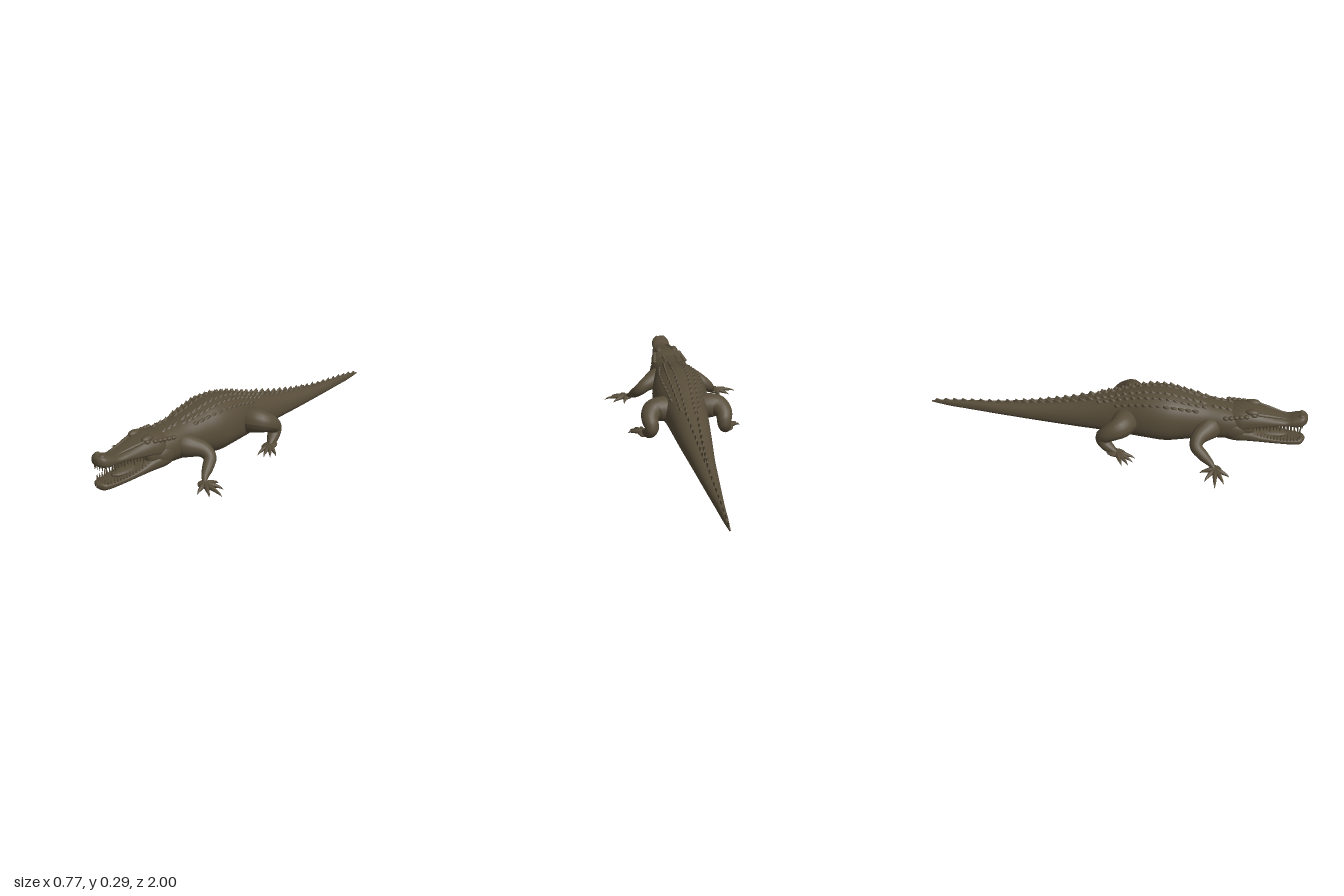
import * as THREE from 'three';
import { mergeGeometries } from 'three/addons/utils/BufferGeometryUtils.js';

const V = (x, y, z) => new THREE.Vector3(x, y, z);

// Profile rows: z, half width, height of the widest line, top, bottom
const BODY = [
  [-1, .002, .035, .038, .03], [-.9, .012, .035, .055, .02], [-.8, .02, .035, .065, .018],
  [-.6, .04, .045, .083, .015], [-.4, .06, .055, .115, .015], [-.2, .085, .075, .16, .018],
  [0, .108, .1, .222, .02], [.1, .125, .115, .258, .02], [.2, .143, .13, .282, .02],
  [.3, .145, .135, .287, .016], [.4, .125, .145, .268, .03], [.5, .105, .15, .25, .05],
  [.6, .106, .15, .24, .065], [.68, .094, .15, .235, .075], [.74, .07, .15, .2, .09], [.745, .005, .15, .16, .14],
];
const UPPER = [
  [.57, .06, .18, .225, .15], [.66, .094, .17, .245, .14], [.72, .088, .175, .246, .155],
  [.78, .075, .18, .233, .165], [.85, .063, .188, .218, .172], [.9, .053, .19, .213, .176],
  [.94, .052, .195, .228, .171], [.975, .046, .2, .238, .178], [.995, .025, .206, .228, .19], [1, .003, .208, .212, .204],
];
const LOWER = [
  [.55, .07, .12, .15, .075], [.64, .103, .125, .165, .068], [.72, .092, .115, .153, .07],
  [.78, .076, .1, .123, .067], [.86, .06, .088, .102, .062], [.93, .05, .085, .1, .06],
  [.975, .04, .085, .102, .063], [.993, .015, .087, .098, .075], [.997, .002, .088, .09, .085],
];

// Smooth profile sampling and lookup by z
function sample(rows, n) {
  const a = new THREE.CatmullRomCurve3(rows.map(r => V(r[0], r[1], r[2])));
  const b = new THREE.CatmullRomCurve3(rows.map(r => V(r[0], r[3], r[4])));
  a.curveType = b.curveType = 'catmullrom';
  return Array.from({ length: n + 1 }, (_, i) => {
    const p = a.getPoint(i / n), q = b.getPoint(i / n);
    return [p.x, Math.max(p.y, .001), p.z, q.y, q.z];
  });
}
function rowAt(rows, z) {
  let i = 0;
  while (i < rows.length - 2 && rows[i + 1][0] < z) i++;
  const a = rows[i], b = rows[i + 1], t = (z - a[0]) / (b[0] - a[0]);
  return a.map((v, k) => v + (b[k] - v) * t);
}
function ringPoint(r, angle, power) {
  const pw = v => Math.sign(v) * Math.abs(v) ** power;
  const c = pw(Math.cos(angle)), s = pw(Math.sin(angle));
  return V(r[1] * c, r[2] + s * (s > 0 ? r[3] - r[2] : r[2] - r[4]), r[0]);
}

// Skin stretched over the profile rows
function loft(rows, n, power, sides = 36) {
  const pos = [], idx = [], rings = sample(rows, n);
  for (const r of rings)
    for (let j = 0; j < sides; j++) pos.push(...ringPoint(r, j / sides * Math.PI * 2, power).toArray());
  for (let i = 0; i < n; i++)
    for (let j = 0; j < sides; j++) {
      const k = (j + 1) % sides, a = i * sides + j, b = i * sides + k;
      idx.push(a, b, a + sides, b, b + sides, a + sides);
    }
  const g = new THREE.BufferGeometry();
  g.setAttribute('position', new THREE.Float32BufferAttribute(pos, 3));
  g.setIndex(idx);
  g.computeVertexNormals();
  return g;
}

// Tube with a changing radius; stations are x, y, z, radius
function limb(stations, segs = 24, sides = 16) {
  const curve = new THREE.CatmullRomCurve3(stations.map(s => V(s[0], s[1], s[2])));
  const radii = new THREE.CatmullRomCurve3(stations.map((s, i) => V(i, s[3], 0)));
  const g = new THREE.TubeGeometry(curve, segs, 1, sides);
  const p = g.attributes.position, nrm = g.attributes.normal;
  for (let i = 0; i <= segs; i++) {
    const c = curve.getPointAt(i / segs), r = radii.getPoint(i / segs).y;
    for (let j = 0; j <= sides; j++) {
      const k = i * (sides + 1) + j;
      p.setXYZ(k, c.x + nrm.getX(k) * r, c.y + nrm.getY(k) * r, c.z + nrm.getZ(k) * r);
    }
  }
  g.computeVertexNormals();
  return g;
}

const ball = (x, y, z, sx, sy, sz) => new THREE.SphereGeometry(1, 20, 14).scale(sx, sy, sz).translate(x, y, z);

// Keeled scale leaning backwards
function scute(p, roll, width, height, length) {
  const g = new THREE.ConeGeometry(1, 1, 8).translate(0, .3, 0);
  const a = g.attributes.position;
  for (let i = 0; i < a.count; i++) a.setZ(i, a.getZ(i) - Math.max(0, a.getY(i)) * .7);
  g.scale(width, height, length).rotateZ(roll).translate(p.x, p.y, p.z);
  g.computeVertexNormals();
  return g;
}

export function createModel() {
  const group = new THREE.Group();
  const hide = new THREE.MeshStandardMaterial({ color: 0x574c39 });
  hide.name = 'olive hide';
  const add = (name, ...geos) => {
    const mesh = new THREE.Mesh(geos.length > 1 ? mergeGeometries(geos) : geos[0], hide);
    mesh.name = name;
    group.add(mesh);
  };

  add('bodyAndTail', loft(BODY, 120, .9));
  add('upperJaw', loft(UPPER, 60, .8));
  add('lowerJaw', loft(LOWER, 60, .8));
  add('tongue', ball(0, .105, .81, .04, .018, .1));

  // Armour rows along the back and the tail
  const scutes = [];
  for (const [angle, from, to, size] of [[.2, -.1, .5, 1], [.46, -.05, .5, 1], [.75, .05, .46, 1], [.3, .54, .64, 1.1]])
    for (let z = from; z < to; z += .036)
      for (const s of [-1, 1]) {
        const p = ringPoint(rowAt(BODY, z), Math.PI / 2 - s * angle, .9);
        scutes.push(scute(p, -s * angle * .8, .011 * size, .017 * size, .02));
      }
  add('backScutes', ...scutes);

  const crest = [];
  for (let z = -.1; z > -.5; z -= .045)
    for (const s of [-1, 1]) {
      const r = rowAt(BODY, z), p = ringPoint(r, Math.PI / 2 - s * .25 * (z + .6) / .5, .9);
      crest.push(scute(p, -s * .1, .007, .02, .03));
    }
  for (let z = -.5; z > -.97; z -= .05)
    crest.push(scute(V(0, rowAt(BODY, z)[3] - .003, z), 0, .006, .026 * Math.min(1, 1.5 + z * .9), .034));
  add('tailCrest', ...crest);

  // Brows, eyes, nostrils and cheek muscles
  const bumps = [];
  for (const s of [-1, 1]) {
    bumps.push(
      ball(s * .045, .238, .725, .02, .017, .035), ball(s * .058, .229, .735, .012, .012, .016),
      ball(s * .018, .231, .968, .013, .01, .016), ball(s * .083, .14, .64, .024, .045, .06),
      limb([[s * .05, .232, .75, .008], [s * .04, .224, .8, .009], [s * .03, .216, .86, .006], [s * .025, .21, .9, .001]], 12, 8),
    );
    for (let i = 0; i < 5; i++) bumps.push(ball(s * (.072 + .004 * i), .226 - .003 * i, .7 - .025 * i, .012, .01, .015));
  }
  add('headBumps', ...bumps);

  // Teeth along both jaws and across the front
  const teeth = [];
  const tooth = (x, y, z, h, dir) => {
    const g = new THREE.ConeGeometry(.0055, h, 8).translate(0, h / 2, 0);
    if (dir < 0) g.rotateX(Math.PI);
    teeth.push(g.translate(x, y, z));
  };
  for (const s of [-1, 1]) {
    for (let i = 0; i < 14; i++) {
      const z = .755 + i * .0165, u = rowAt(UPPER, z), l = rowAt(LOWER, z - .008);
      tooth(s * u[1] * .86, u[2] - .006, z, .028 + .012 * (i % 3 === 1) + .008 * (i > 8), -1);
      tooth(s * l[1] * .86, l[2] + .004, z - .008, .026 + .01 * (i % 4 === 2) + .008 * (i > 9), 1);
    }
    for (const x of [.009, .024]) {
      tooth(s * x, .193, .982 - x * .2, .036, -1);
      tooth(s * (x + .004), .09, .975 - x * .2, .036, 1);
    }
  }
  add('teeth', ...teeth);

  // Legs with a flat palm and clawed, spread toes; coordinates for the left side
  const legs = {
    Front: {
      path: [[.05, .145, .54, .06], [.11, .14, .505, .059], [.16, .125, .475, .046], [.195, .098, .472, .036],
        [.218, .067, .51, .03], [.237, .04, .55, .026], [.262, .024, .575, .016], [.275, .02, .58, .003]],
      palm: [.262, .02, .577, .036, .013, .034],
      toes: [[.28, .505], [.34, .535], [.385, .59], [.343, .63], [.285, .65]],
    },
    Hind: {
      path: [[.06, .125, .1, .066], [.12, .14, .095, .067], [.175, .14, .075, .062], [.197, .118, .03, .05],
        [.192, .083, -.005, .041], [.2, .05, .01, .034], [.22, .03, .055, .025], [.235, .022, .085, .004]],
      palm: [.225, .02, .072, .032, .014, .05],
      toes: [[.305, .115], [.293, .145], [.267, .165], [.232, .17]],
    },
  };
  for (const [name, leg] of Object.entries(legs))
    for (const s of [-1, 1]) {
      const [px, py, pz, sx, sy, sz] = leg.palm;
      const toes = leg.toes.map(([x, z]) => {
        const at = (t, y, r) => [s * (px + (x - px) * t), y, pz + (z - pz) * t, r];
        return limb([at(.1, .022, .012), at(.4, .021, .012), at(.72, .016, .0095), at(.85, .013, .006), at(1, .004, .0008)], 14, 10);
      });
      const side = s > 0 ? 'left' : 'right';
      add(side + name + 'Leg', limb(leg.path.map(([x, y, z, r]) => [s * x, y, z, r]), 32, 20));
      add(side + name + 'Foot', ball(s * px, py, pz, sx, sy, sz), ...toes);
    }

  return group;
}
